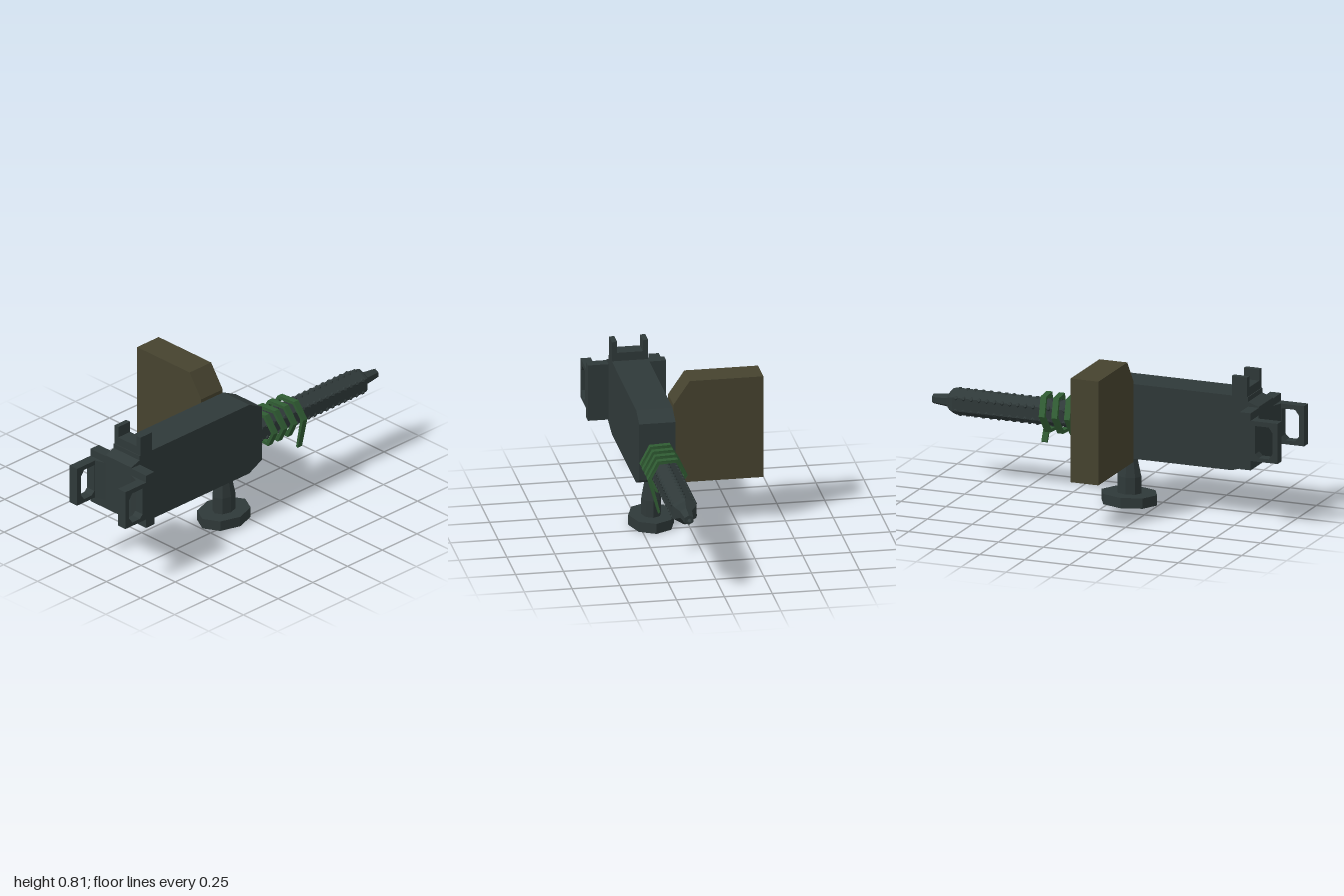
import * as THREE from 'three';
import { mergeGeometries } from 'three/addons/utils/BufferGeometryUtils.js';

const AXIS_Y = 0.435, AXIS_Z = 0.185;

// Faceted normals for the low-poly style
function flat(geometry) {
  const g = geometry.index ? geometry.toNonIndexed() : geometry;
  g.computeVertexNormals();
  return g;
}

function shapeOf(points) {
  return new THREE.Shape(points.map(([x, y]) => new THREE.Vector2(x, y)));
}

// Extrude an x-y outline from z0 to z1
function slab(points, z0, z1, hole) {
  const shape = shapeOf(points);
  if (hole) shape.holes.push(shapeOf(hole));
  const g = new THREE.ExtrudeGeometry(shape, { depth: z1 - z0, bevelEnabled: false });
  return g.translate(0, 0, z0);
}

function box(x0, x1, y0, y1, z0, z1) {
  return new THREE.BoxGeometry(x1 - x0, y1 - y0, z1 - z0)
    .translate((x0 + x1) / 2, (y0 + y1) / 2, (z0 + z1) / 2);
}

// Six-sided coil with a rectangular section and a loose hanging end
function coilGeometry() {
  const rings = [];
  for (let k = 0; k <= 22; k++) {
    const a = -(120 + 60 * k) * Math.PI / 180;
    const x = 0.132 + 0.0117 * k;
    const at = (r, dx) => [x + dx, AXIS_Y + r * Math.sin(a), AXIS_Z + r * Math.cos(a)];
    rings.push([at(0.088, -0.016), at(0.108, -0.016), at(0.108, 0.016), at(0.088, 0.016)]);
  }
  rings.push([[0.387, 0.258, 0.229], [0.387, 0.252, 0.24], [0.419, 0.252, 0.24], [0.419, 0.258, 0.229]]);
  const index = [];
  for (let i = 0; i < rings.length - 1; i++) {
    for (let j = 0; j < 4; j++) {
      const a = i * 4 + j, b = i * 4 + (j + 1) % 4, c = a + 4, d = b + 4;
      index.push(a, c, b, b, c, d);
    }
  }
  const e = (rings.length - 1) * 4;
  index.push(0, 1, 2, 0, 2, 3, e, e + 2, e + 1, e, e + 3, e + 2);
  const g = new THREE.BufferGeometry();
  g.setAttribute('position', new THREE.Float32BufferAttribute(rings.flat(2), 3));
  g.setIndex(index);
  return g;
}

export function createModel() {
  const group = new THREE.Group();
  const steel = new THREE.MeshStandardMaterial({ color: 0x2f3939 });
  steel.name = 'gunmetal';
  const olive = new THREE.MeshStandardMaterial({ color: 0x46432f });
  olive.name = 'olive';
  const green = new THREE.MeshStandardMaterial({ color: 0x305c33, side: THREE.DoubleSide });
  green.name = 'cord green';

  const add = (name, geometry, material) => {
    const mesh = new THREE.Mesh(flat(geometry), material);
    mesh.name = name;
    group.add(mesh);
    return mesh;
  };

  // Receiver with sloped ends
  add('receiver', slab([
    [-0.70, 0.265], [0, 0.265], [0.09, 0.31], [0.09, 0.62], [0, 0.665],
    [-0.79, 0.665], [-0.79, 0.64], [-0.85, 0.62], [-0.85, 0.31],
  ], 0.09, 0.28), steel);

  // Rear sight: base block and two posts
  add('sightBase', box(-0.785, -0.70, 0.66, 0.71, 0.09, 0.28), steel);
  for (const z of [0.09, 0.252]) {
    add('sightPost', box(-0.785, -0.70, 0.71, 0.77, z, z + 0.028), steel);
  }

  // Rear crossbar with a grip frame at each end
  add('crossbar', box(-0.85, -0.79, 0.31, 0.615, -0.02, 0.389), steel);
  const gripOuter = [[-1, 0.36], [-0.85, 0.36], [-0.85, 0.575], [-1, 0.575]];
  const gripHole = [
    [-0.95, 0.38], [-0.895, 0.38], [-0.875, 0.40], [-0.875, 0.55],
    [-0.95, 0.55], [-0.972, 0.52], [-0.972, 0.41],
  ];
  for (const side of [1, -1]) {
    const inner = AXIS_Z + side * 0.15, outer = AXIS_Z + side * 0.204;
    add('grip', slab(gripOuter, Math.min(inner, outer), Math.max(inner, outer), gripHole), steel);
    // Gusset between grip and crossbar
    const corner = [[-0.87, -inner], [-0.85, -inner], [-0.85, -(AXIS_Z + side * 0.095)]];
    if (side > 0) corner.reverse();
    add('gripGusset', slab(corner, 0.36, 0.575).rotateX(-Math.PI / 2), steel);
  }

  // Six-sided barrel, muzzle cone and bore
  const profile = [
    [0, 0.08], [0.071, 0.08], [0.073, 0.87], [0.066, 0.89], [0.036, 0.915],
    [0.026, 1], [0.014, 1], [0.014, 0.96], [0, 0.96],
  ].map(([r, x]) => new THREE.Vector2(r, x));
  add('barrel', new THREE.LatheGeometry(profile, 6, Math.PI / 6)
    .rotateZ(-Math.PI / 2).translate(0, AXIS_Y, AXIS_Z), steel);

  // Rows of low studs along the barrel edges
  const studs = [];
  for (let i = 0; i < 6; i++) {
    const a = (30 + 60 * i) * Math.PI / 180;
    for (let x = 0.12; x < 0.87; x += 0.043) {
      studs.push(new THREE.CylinderGeometry(0.009, 0.015, 0.014, 6)
        .translate(0, 0.068, 0).rotateX(Math.PI / 2 - a)
        .translate(x, AXIS_Y, AXIS_Z));
    }
  }
  add('barrelStuds', mergeGeometries(studs), steel);

  // Cord wrapped round the barrel
  add('barrelCord', coilGeometry(), green);

  // Ammunition box: side outline extruded across x
  const boxGeo = slab([
    [-0.085, 0.25], [0.385, 0.25], [0.385, 0.805], [0, 0.805], [-0.085, 0.68],
  ], -0.155, 0).rotateY(Math.PI / 2);
  add('ammoBox', boxGeo, olive);

  // Pedestal: oval eight-sided foot, post and tapered neck
  const oval = (name, rTop, rBottom, y0, y1) => add(name,
    new THREE.CylinderGeometry(rTop, rBottom, y1 - y0, 8)
      .scale(1.29, 1, 1).translate(-0.09, (y0 + y1) / 2, AXIS_Z), steel);
  oval('foot', 0.12, 0.12, 0, 0.055);
  oval('post', 0.052, 0.052, 0.055, 0.145);
  oval('neck', 0.03, 0.052, 0.145, 0.27);

  return group;
}
